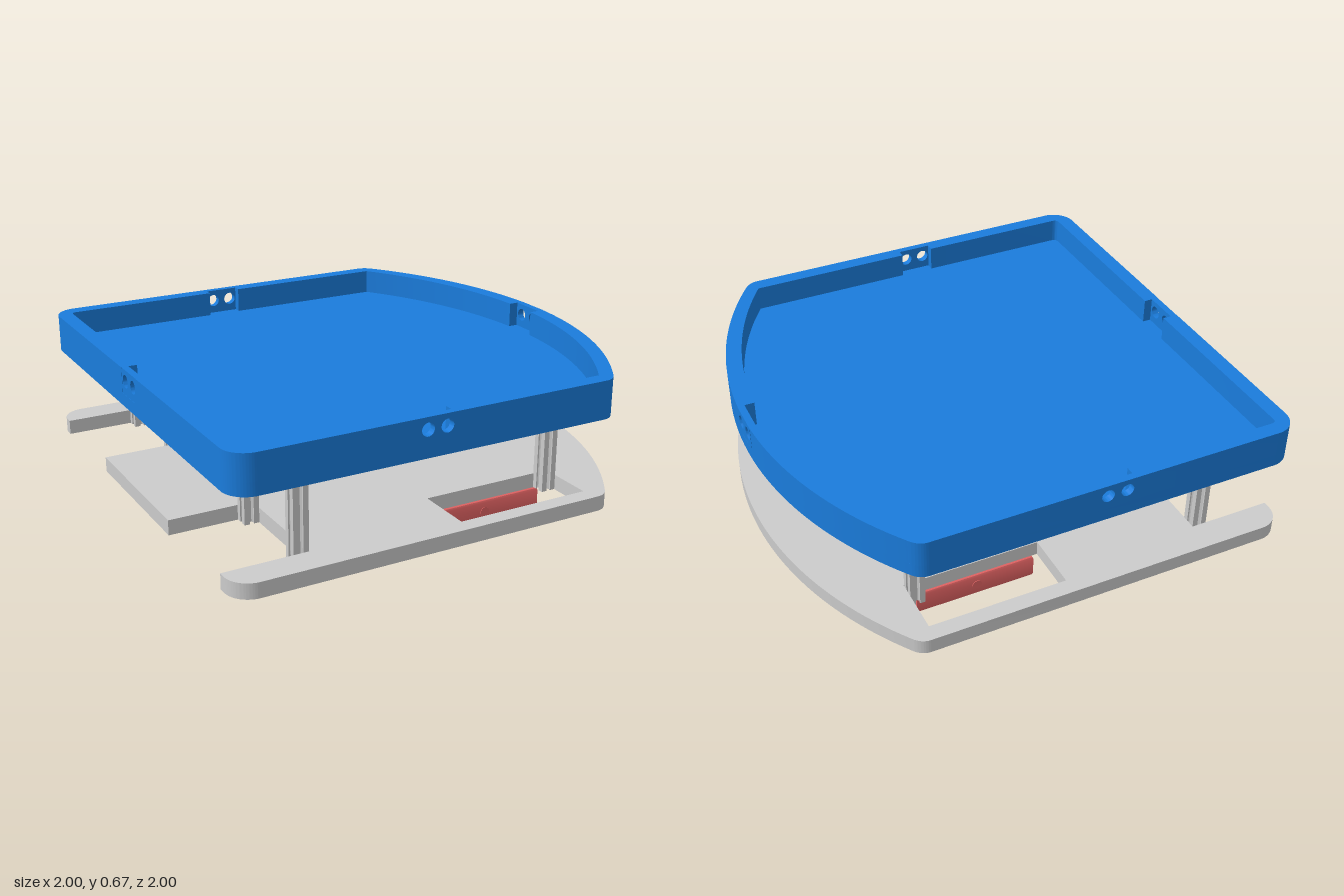
import * as THREE from 'three';
import { toCreasedNormals } from 'three/addons/utils/BufferGeometryUtils.js';

const grey = new THREE.MeshStandardMaterial({ color: 0xcccccc });
const blue = new THREE.MeshStandardMaterial({ color: 0x1a7cdc });
const red = new THREE.MeshStandardMaterial({ color: 0xe06262 });

function add(parent, name, geometry, material, x = 0, y = 0, z = 0) {
  const mesh = new THREE.Mesh(geometry, material);
  mesh.name = name;
  mesh.position.set(x, y, z);
  parent.add(mesh);
  return mesh;
}

// Plan shape drawn in (x, z), raised to a given thickness along y
function slab(shape, height, bevel = 0) {
  const geo = new THREE.ExtrudeGeometry(shape, {
    depth: height - 2 * bevel, curveSegments: 24, bevelEnabled: bevel > 0,
    bevelSize: bevel, bevelOffset: -bevel, bevelThickness: bevel, bevelSegments: 2,
  });
  geo.rotateX(-Math.PI / 2).translate(0, bevel, 0);
  return toCreasedNormals(geo, 0.5);
}

// Same shape, optionally mirrored across the long axis
function mirrored(shape, side) {
  return new THREE.Shape(shape.getPoints(24).map(p => new THREE.Vector2(p.x, p.y * side)));
}

// Bowed front outline shared by the tray and the base plate, with a round-cornered back
function outline(backPoints = []) {
  const s = new THREE.Shape();
  s.moveTo(-0.9, -1);
  s.lineTo(0.62, -1);
  s.quadraticCurveTo(0.66, -1, 0.687, -0.96);
  s.absarc(-0.63, 0, 1.63, -0.63, 0.63, false);
  s.quadraticCurveTo(0.66, 1, 0.62, 1);
  s.lineTo(-0.9, 1);
  s.absarc(-0.9, 0.9, 0.1, Math.PI / 2, Math.PI, false);
  for (const [x, z] of backPoints) s.lineTo(x, z);
  s.lineTo(-1, -0.9);
  s.absarc(-0.9, -0.9, 0.1, Math.PI, 1.5 * Math.PI, false);
  return s;
}

// Slotted square profile for posts and beams
function profileGeometry(length) {
  const h = 0.0325, pts = [];
  const sidePts = [[h, -h], [h, -0.009], [0.026, -0.009], [0.026, -0.018], [0.012, -0.006],
    [0.012, 0.006], [0.026, 0.018], [0.026, 0.009], [h, 0.009]];
  for (let i = 0; i < 4; i++) {
    for (const [x, y] of sidePts) {
      pts.push(new THREE.Vector2(x, y).rotateAround(new THREE.Vector2(), i * Math.PI / 2));
    }
  }
  const geo = new THREE.ExtrudeGeometry(new THREE.Shape(pts), { depth: length, bevelEnabled: false });
  return geo.translate(0, 0, -length / 2);
}

// Thin wall panel with a pair of round ports
function portPanel(width, height, depth) {
  const s = new THREE.Shape();
  s.moveTo(-width / 2, 0);
  s.lineTo(width / 2, 0);
  s.lineTo(width / 2, height);
  s.lineTo(-width / 2, height);
  for (const x of [-0.0425, 0.0425]) {
    s.holes.push(new THREE.Path().absarc(x, 0.06, 0.028, 0, Math.PI * 2, true));
  }
  const geo = new THREE.ExtrudeGeometry(s, { depth, bevelEnabled: false, curveSegments: 16 });
  return toCreasedNormals(geo.translate(0, 0, -depth / 2), 0.5);
}

function createTray() {
  const tray = new THREE.Group();
  tray.name = 'tray';
  const floorY = 0.56, rimH = 0.11;
  add(tray, 'trayFloor', slab(outline(), 0.055), blue, 0, 0.505, 0);

  // Rim quarters between the port panels
  const front = new THREE.Shape();
  front.moveTo(-0.09, 1);
  front.lineTo(0.62, 1);
  front.quadraticCurveTo(0.66, 1, 0.687, 0.96);
  front.absarc(-0.63, 0, 1.63, 0.63, 0.0491, true);
  front.absarc(-0.7, 0, 1.629, 0.0491, 0.611, false);
  front.lineTo(-0.09, 0.935);
  const back = new THREE.Shape();
  back.moveTo(-0.24, 1);
  back.lineTo(-0.9, 1);
  back.absarc(-0.9, 0.9, 0.1, Math.PI / 2, Math.PI, false);
  back.lineTo(-1, 0.08);
  back.lineTo(-0.932, 0.08);
  back.lineTo(-0.932, 0.91);
  back.quadraticCurveTo(-0.932, 0.935, -0.907, 0.935);
  back.lineTo(-0.24, 0.935);
  for (const side of [-1, 1]) {
    add(tray, 'frontRim', slab(mirrored(front, side), rimH), blue, 0, floorY, 0);
    add(tray, 'backRim', slab(mirrored(back, side), rimH), blue, 0, floorY, 0);
    add(tray, 'sidePortPanel', portPanel(0.15, rimH, 0.03), blue, -0.165, floorY, side * 0.985);
    add(tray, 'endPortPanel', portPanel(0.16, rimH, 0.03), blue, side * 0.984, floorY, 0)
      .rotation.y = Math.PI / 2;
  }
  return tray;
}

function createBase() {
  // Plate with two side arms and a middle tongue at the back
  const shape = outline([[-1, 0.87], [-0.637, 0.87], [-0.637, 0.365], [-1, 0.365],
    [-1, -0.365], [-0.637, -0.365], [-0.637, -0.87], [-1, -0.87]]);
  for (const side of [-1, 1]) {
    const corners = [[0, 0.68], [0.6, 0.68], [0.6, 0.93], [0, 0.93]];
    shape.holes.push(new THREE.Path(corners.map(([x, z]) => new THREE.Vector2(x, z * side))));
  }
  return slab(shape, 0.065);
}

function createFrame() {
  const frame = new THREE.Group();
  frame.name = 'frame';
  const beamY = 0.4725, backX = -0.67, frontX = 0.565;
  add(frame, 'backBeam', profileGeometry(1.73), grey, backX, beamY, 0);
  add(frame, 'frontBeam', profileGeometry(1.48), grey, frontX, beamY, 0);
  for (const side of [-1, 1]) {
    add(frame, 'sideBeam', profileGeometry(1.17), grey, -0.0525, beamY, side * 0.708)
      .rotation.y = Math.PI / 2;
    // Posts stand in the corners of the plate cutouts
    for (const [x, z] of [[backX, 0.835], [backX, 0.4], [frontX, 0.71]]) {
      add(frame, 'post', profileGeometry(0.333), grey, x, 0.2735, side * z)
        .rotation.x = Math.PI / 2;
    }
  }
  return frame;
}

function createFoot(side) {
  const foot = new THREE.Group();
  foot.name = side > 0 ? 'leftFoot' : 'rightFoot';
  // Straight outer and back edges, rounded towards the inner front
  const s = new THREE.Shape();
  s.moveTo(0.02, 0.1);
  s.lineTo(0.36, 0.1);
  s.bezierCurveTo(0.46, 0.14, 0.54, 0.36, 0.55, 0.6);
  s.lineTo(0.55, 0.69);
  s.lineTo(0.02, 0.69);
  // Plan shapes have z flipped when raised
  add(foot, 'footBody', slab(mirrored(s, -side), 0.105, 0.012), red);
  add(foot, 'footPlug', new THREE.CylinderGeometry(0.021, 0.021, 0.004, 20), red, 0.28, 0.052, side * 0.69)
    .rotation.x = Math.PI / 2;
  return foot;
}

export function createModel() {
  const model = new THREE.Group();
  model.name = 'trayCart';
  model.add(createTray());
  add(model, 'basePlate', createBase(), grey, 0, 0.105, 0);
  model.add(createFrame(), createFoot(1), createFoot(-1));
  return model;
}
